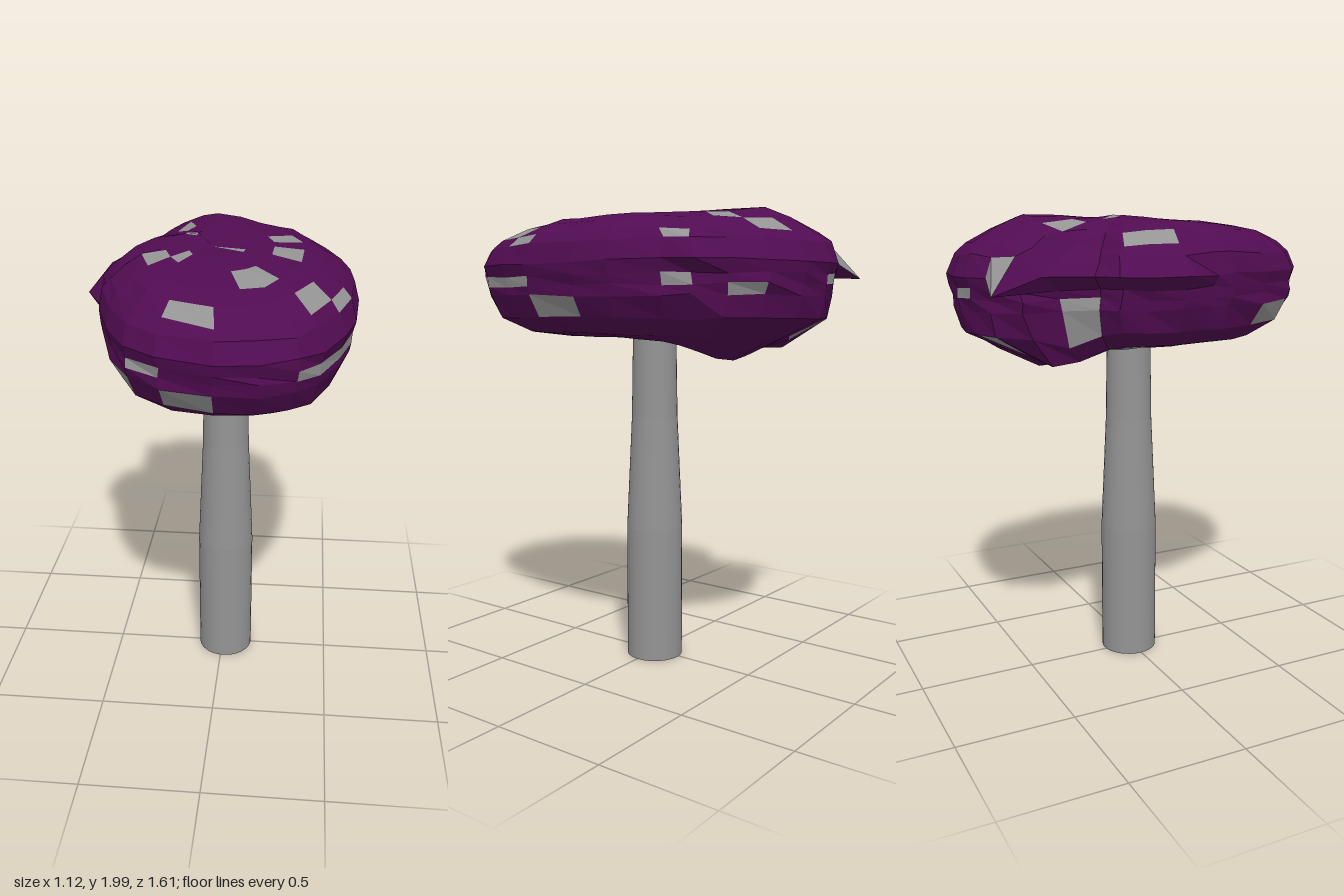
import * as THREE from 'three';

// Rim outline seen from above: x, z, and how far the rim overhangs the rest there
const RIM = [
  [0.56, 0, 0], [0.55, -0.17, 0], [0.48, -0.38, 0.01], [0.46, -0.52, 0.07], [0.37, -0.62, 0],
  [0.24, -0.72, 0], [0.08, -0.79, 0], [-0.08, -0.81, 0], [-0.18, -0.79, 0], [-0.28, -0.74, 0],
  [-0.43, -0.77, 0.17], [-0.4, -0.56, 0.16], [-0.4, -0.35, 0.1], [-0.5, -0.29, 0.1], [-0.55, -0.17, 0.12],
  [-0.56, 0, 0.12], [-0.48, 0.15, 0.02], [-0.47, 0.23, 0], [-0.4, 0.44, 0], [-0.3, 0.63, 0],
  [-0.17, 0.73, 0], [0.04, 0.8, 0], [0.2, 0.78, 0], [0.33, 0.73, 0], [0.42, 0.64, 0],
  [0.5, 0.45, 0], [0.54, 0.28, 0],
];
// Cap rings from the underside to the crown: share of the rim, height
const RINGS = [
  [0, 1.48], [0.28, 1.47], [0.52, 1.455], [0.74, 1.475], [0.89, 1.54], [0.965, 1.63],
  [0.975, 1.67], [0.985, 1.71], [1, 1.76], [0.95, 1.84], [0.89, 1.88], [0.76, 1.93],
  [0.62, 1.955], [0.42, 1.965], [0.24, 1.965], [0, 1.945],
];
const RIM_RING = 8;
const SPIKE = 10;
// Grey patches: for each ring, the columns that are grey
const SPOTS = {
  1: [4], 2: [13], 3: [8], 4: [11, 18, 20, 26], 5: [4, 11], 6: [2, 7, 19, 23, 24, 25],
  8: [9], 9: [2, 25], 10: [5, 13, 14, 20, 24], 11: [4],
  12: [1, 9, 17, 22, 23, 26], 13: [11, 18], 14: [25],
};
const CENTRE = [-0.04, -0.03];
const PURPLE = 0x510c51;
const GREY = 0x949494;

function seeded(seed) {
  return () => {
    seed = (seed * 16807) % 2147483647;
    return seed / 2147483647 - 0.5;
  };
}

// One cap vertex: rim scaled toward the centre, with dents and a sagging back
function capPoint(ring, column, rand) {
  const [share, height] = RINGS[ring];
  const [rx, rz, lip] = RIM[column];
  const keep = ring === RIM_RING ? 1 : 1 - lip * (ring === RIM_RING + 1 ? 0.7 : 1);
  const full = ring === 4 && column > 3 && column < 10 ? 1.05 : 1;
  const rough = ring === RIM_RING ? 0 : 0.02 * share;
  const x = CENTRE[0] + (rx - CENTRE[0]) * share * keep * full + rand() * rough;
  const z = CENTRE[1] + (rz - CENTRE[1]) * share * keep * full + rand() * rough;
  let y = height + rand() * 0.015 * share;
  const near = (px, pz, r) => Math.exp(-((x - px) ** 2 + (z - pz) ** 2) / (r * r));
  if (ring < 5) {
    y -= 0.1 * near(0.04, -0.39, 0.17) + 0.07 * near(-0.27, -0.43, 0.14);
  } else if (ring === RIM_RING && column === SPIKE) {
    y -= 0.06;
  } else if (ring > RIM_RING) {
    y += 0.035 * near(-0.06, -0.45, 0.15) + 0.02 * near(-0.1, -0.1, 0.12);
    y -= 0.05 * near(-0.3, -0.38, 0.13) + 0.035 * near(0.03, 0.52, 0.25);
  }
  return new THREE.Vector3(x, y, z);
}

function capMesh(name, color, triangles) {
  const geometry = new THREE.BufferGeometry().setFromPoints(triangles);
  geometry.computeVertexNormals();
  const material = new THREE.MeshStandardMaterial({ color, flatShading: true, side: THREE.DoubleSide });
  const mesh = new THREE.Mesh(geometry, material);
  mesh.name = name;
  return mesh;
}

function createCap() {
  const rand = seeded(4711);
  const grid = RINGS.map((_, i) => RIM.map((_, j) => capPoint(i, j, rand)));
  const skin = [];
  const spots = [];
  for (let i = 0; i < RINGS.length - 1; i++) {
    for (let j = 0; j < RIM.length; j++) {
      const k = (j + 1) % RIM.length;
      const a = grid[i][j], b = grid[i][k], c = grid[i + 1][k], d = grid[i + 1][j];
      const target = SPOTS[i]?.includes(j) ? spots : skin;
      if (i > 0) target.push(a, b, d);
      if (i === 0) target.push(a, c, d);
      else if (i < RINGS.length - 2) target.push(b, c, d);
    }
  }
  const cap = new THREE.Group();
  cap.name = 'cap';
  cap.add(capMesh('capSkin', PURPLE, skin), capMesh('capSpots', GREY, spots));
  return cap;
}

// Stem: wide foot, taper, narrow neck, each a straight or conical section
function createStem() {
  const stem = new THREE.Group();
  stem.name = 'stem';
  const material = new THREE.MeshStandardMaterial({ color: GREY });
  const sections = [
    ['stemFoot', 0.125, 0.125, 0, 0.6],
    ['stemTaper', 0.125, 0.102, 0.6, 1.1],
    ['stemNeck', 0.102, 0.095, 1.1, 1.53],
  ];
  for (const [name, low, high, y0, y1] of sections) {
    const open = y0 > 0;
    const mesh = new THREE.Mesh(new THREE.CylinderGeometry(high, low, y1 - y0, 32, 1, open), material);
    mesh.position.y = (y0 + y1) / 2;
    mesh.name = name;
    stem.add(mesh);
  }
  stem.position.set(0.015, 0, -0.005);
  return stem;
}

export function createModel() {
  const model = new THREE.Group();
  model.name = 'mushroom';
  model.add(createStem(), createCap());
  return model;
}
